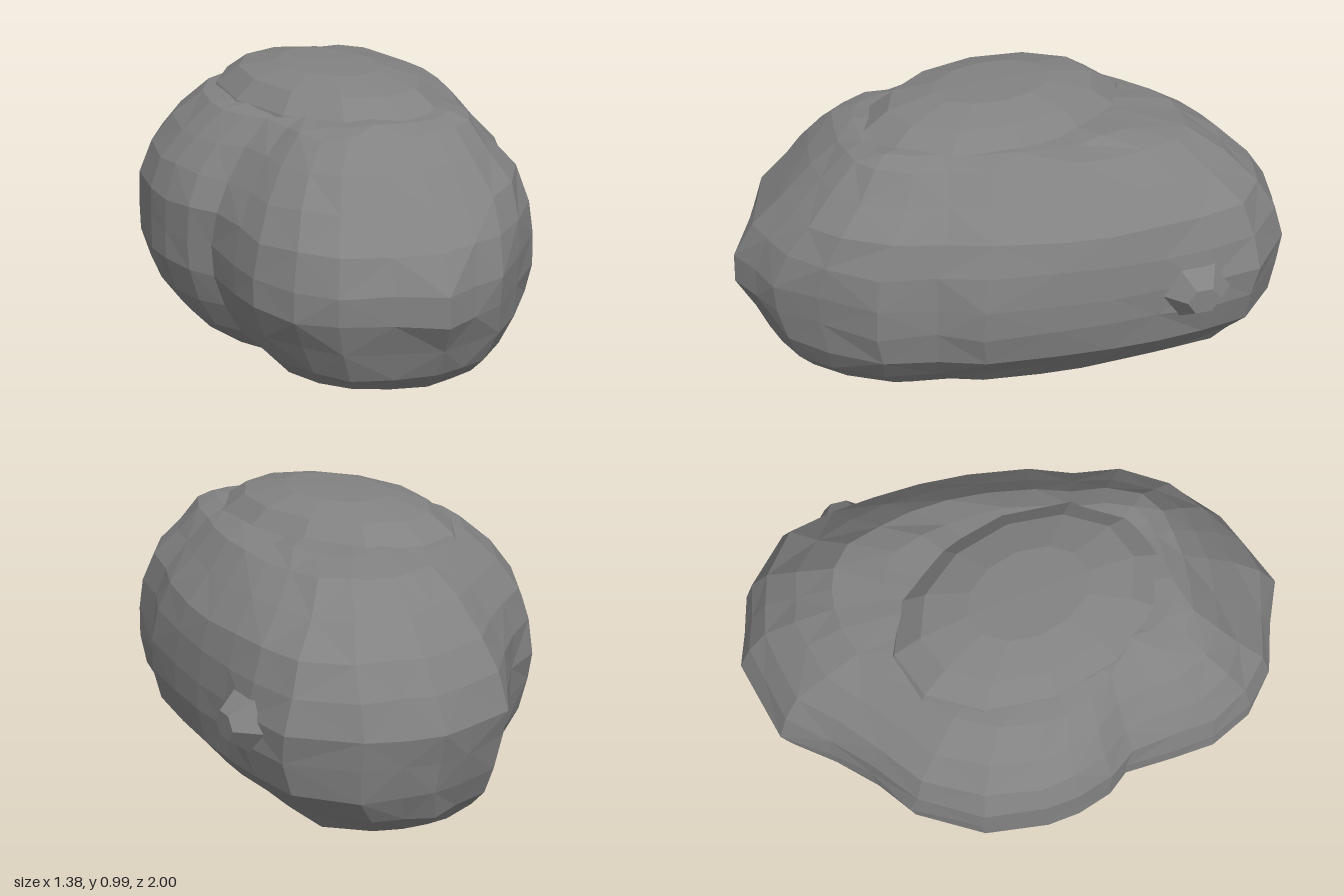
import * as THREE from 'three';

// Plan outlines (x, z), counterclockwise from above, starting at the front
const waist = [
  [-0.04, 1], [0.08, 0.95], [0.2, 0.9], [0.33, 0.77], [0.48, 0.6], [0.52, 0.4],
  [0.59, 0.25], [0.62, 0], [0.63, -0.2], [0.62, -0.38], [0.63, -0.55], [0.6, -0.75],
  [0.41, -0.93], [0.27, -0.97], [0.15, -1], [0.03, -0.97], [-0.15, -0.92], [-0.26, -0.77],
  [-0.37, -0.64], [-0.53, -0.53], [-0.66, -0.3], [-0.69, -0.07], [-0.68, 0.05], [-0.64, 0.18],
  [-0.58, 0.26], [-0.57, 0.45], [-0.56, 0.6], [-0.48, 0.76], [-0.37, 0.87], [-0.2, 0.93],
];
const shoulder = [
  [0, 0.6], [0.1, 0.6], [0.18, 0.59], [0.26, 0.54], [0.31, 0.42], [0.33, 0.3],
  [0.37, 0.17], [0.4, 0], [0.41, -0.14], [0.4, -0.28], [0.37, -0.4], [0.33, -0.52],
  [0.26, -0.59], [0.19, -0.61], [0.12, -0.62], [0.04, -0.61], [-0.06, -0.58], [-0.16, -0.5],
  [-0.27, -0.42], [-0.38, -0.32], [-0.45, -0.18], [-0.47, -0.03], [-0.46, 0.06], [-0.42, 0.16],
  [-0.36, 0.25], [-0.33, 0.35], [-0.32, 0.44], [-0.28, 0.53], [-0.21, 0.58], [-0.11, 0.6],
];

// Each height: y, x range, z range, blend from waist to shoulder outline
const levels = [
  [0.01, -0.48, 0.41, -0.75, 0.71, 0.4],
  [0.05, -0.53, 0.46, -0.85, 0.82, 0.35],
  [0.115, -0.59, 0.52, -0.91, 0.89, 0.3],
  [0.22, -0.66, 0.61, -0.95, 0.93, 0.2],
  [0.335, -0.69, 0.63, -0.98, 0.99, 0],
  [0.44, -0.69, 0.63, -1, 0.99, 0],
  [0.56, -0.69, 0.62, -0.95, 0.92, 0.3],
  [0.67, -0.645, 0.59, -0.88, 0.81, 0.5],
  [0.77, -0.57, 0.5, -0.76, 0.7, 0.7],
  [0.86, -0.47, 0.41, -0.62, 0.6, 0.9],
  [0.885, -0.37, 0.32, -0.44, 0.53, 1],
];

function seeded(seed) {
  return () => {
    seed = (seed * 16807) % 2147483647;
    return seed / 2147483647 - 0.5;
  };
}

// Closed loft: the blended outline is fitted to the ranges of every level
function boulderGeometry() {
  const { lerp, inverseLerp } = THREE.MathUtils;
  const rand = seeded(71);
  const n = waist.length;
  const pos = [];
  const index = [];
  levels.forEach(([y, x0, x1, z0, z1, blend], i) => {
    for (let j = 0; j < n; j++) {
      const u = lerp(inverseLerp(-0.69, 0.63, waist[j][0]), inverseLerp(-0.47, 0.41, shoulder[j][0]), blend);
      const v = lerp(inverseLerp(-1, 1, waist[j][1]), inverseLerp(-0.62, 0.6, shoulder[j][1]), blend);
      const k = 1 + (i ? rand() * 0.015 : 0);
      const lift = i ? rand() * 0.015 : 0;
      pos.push(lerp(x0, x1, u) * k, y + lift, lerp(z0, z1, v) * k);
    }
  });
  for (let i = 0; i < levels.length - 1; i++) {
    for (let j = 0; j < n; j++) {
      const a = i * n + j;
      const b = i * n + (j + 1) % n;
      const c = b + n;
      const d = a + n;
      if ((i + j) % 2) index.push(a, b, c, a, c, d);
      else index.push(a, b, d, b, c, d);
    }
  }
  // Flat underside and level plateau
  const bottom = pos.length / 3;
  const top = bottom + 1;
  const last = (levels.length - 1) * n;
  pos.push(-0.03, 0, 0, -0.03, 0.9, 0);
  for (let j = 0; j < n; j++) {
    const k = (j + 1) % n;
    index.push(bottom, k, j, top, last + j, last + k);
  }
  const geo = new THREE.BufferGeometry();
  geo.setAttribute('position', new THREE.Float32BufferAttribute(pos, 3));
  geo.setIndex(index);
  geo.computeVertexNormals();
  return geo;
}

// Low faceted dome, leaning so that its back end swings to the right
function crownGeometry() {
  const profile = [[1.05, 0.84], [1, 0.88], [0.8, 0.945], [0.45, 0.98], [0, 0.985]];
  const geo = new THREE.LatheGeometry(profile.map(([r, y]) => new THREE.Vector2(r, y)), 12);
  const p = geo.attributes.position;
  for (let i = 0; i < p.count; i++) {
    const x = p.getX(i);
    const z = p.getZ(i);
    p.setXYZ(i, 0.35 * x + 0.06 * z - 0.05, p.getY(i), 0.49 * z + 0.03);
  }
  geo.computeVertexNormals();
  return geo;
}

export function createModel() {
  const group = new THREE.Group();
  group.name = 'boulder';
  const stone = new THREE.MeshStandardMaterial({ color: 0x828282, flatShading: true });

  const addPart = (name, geometry) => {
    const mesh = new THREE.Mesh(geometry, stone);
    mesh.name = name;
    group.add(mesh);
    return mesh;
  };
  addPart('rockBody', boulderGeometry());
  addPart('crown', crownGeometry());

  // Low blunt knob on the left flank
  const knob = addPart('sideKnob', new THREE.CylinderGeometry(0.06, 0.15, 0.1, 6));
  knob.rotation.z = -Math.PI / 2;
  knob.scale.x = 0.85;
  knob.position.set(0.64, 0.41, -0.51);

  return group;
}
